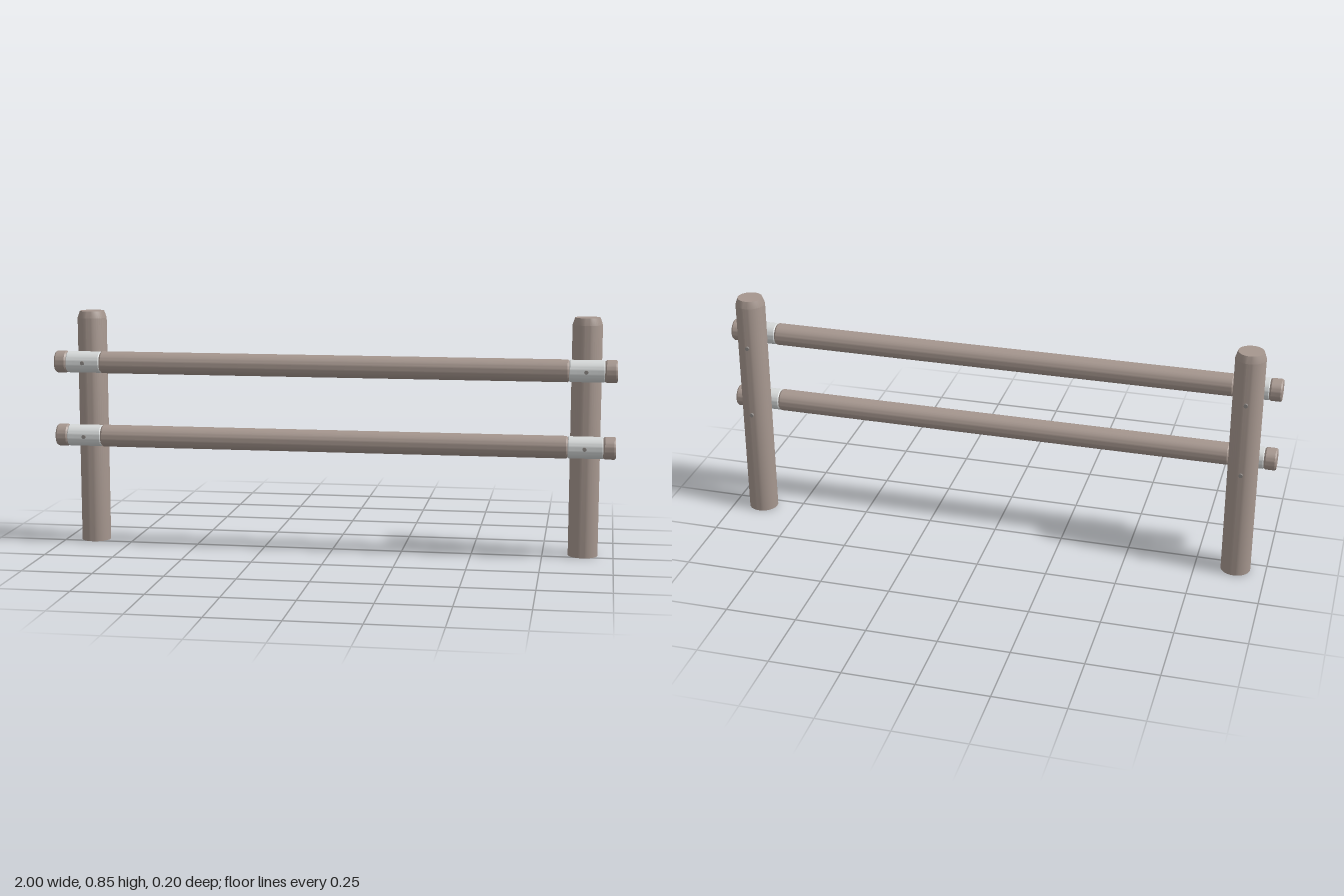
import * as THREE from 'three';
import { toCreasedNormals } from 'three/addons/utils/BufferGeometryUtils.js';

const wood = new THREE.MeshStandardMaterial({ name: 'weathered wood', color: 0xa5968e });
const sleeveGrey = new THREE.MeshStandardMaterial({ name: 'pale sleeve', color: 0xd6d9d9 });
const steel = new THREE.MeshStandardMaterial({ name: 'bolt steel', color: 0x8c8784 });

const POST_X = 0.893, POST_Z = -0.039, RAIL_Z = 0.055, RAIL_R = 0.0395;

// Turned solid from [radius, height] pairs, with sharp edges kept
function turned(profile) {
  const points = profile.map(([r, y]) => new THREE.Vector2(r, y));
  return toCreasedNormals(new THREE.LatheGeometry(points, 40), 0.35);
}

// Turned solid lying along x
function turnedAlongX(profile) {
  return turned(profile).rotateZ(-Math.PI / 2);
}

function add(parent, name, geometry, material, x = 0, y = 0, z = 0) {
  const mesh = new THREE.Mesh(geometry, material);
  mesh.name = name;
  mesh.position.set(x, y, z);
  parent.add(mesh);
}

export function createModel() {
  const model = new THREE.Group();
  model.name = 'railFence';

  // Round posts with a chamfered top
  const postGeometry = turned([[0, 0], [0.0525, 0], [0.0525, 0.822], [0.044, 0.847], [0, 0.847]]);

  // Rail: bevelled ends, with a recess for the sleeve near each end
  const r = RAIL_R, bevel = 0.036, core = 0.034;
  const half = [
    [r, 0.829], [bevel, 0.834], [core, 0.836], [core, 0.956],
    [bevel, 0.958], [r, 0.963], [r, 0.995], [bevel, 1], [0, 1],
  ];
  const mirrored = half.map(([radius, y]) => [radius, -y]).reverse();
  const railGeometry = turnedAlongX([...mirrored, ...half]);

  // Sleeve ring filling the recess
  const sleeveGeometry = turnedAlongX([
    [core, -0.061], [bevel, -0.061], [0.0385, -0.058],
    [0.0385, 0.058], [bevel, 0.061], [core, 0.061],
  ]);
  const boltGeometry = new THREE.CylinderGeometry(0.007, 0.007, 0.201, 16).rotateX(Math.PI / 2);

  for (const [side, sx] of [['left', 1], ['right', -1]]) {
    add(model, side + 'Post', postGeometry, wood, sx * POST_X, 0, POST_Z);
  }

  for (const [level, y] of [['lower', 0.403], ['upper', 0.67]]) {
    const rail = new THREE.Group();
    rail.name = level + 'RailAssembly';
    rail.position.y = y;
    model.add(rail);
    add(rail, level + 'Rail', railGeometry, wood, 0, 0, RAIL_Z);
    for (const sx of [1, -1]) {
      const side = sx > 0 ? 'Left' : 'Right';
      add(rail, level + side + 'Sleeve', sleeveGeometry, sleeveGrey, sx * 0.896, 0, RAIL_Z);
      // Bolt through rail and post
      add(rail, level + side + 'Bolt', boltGeometry, steel, sx * POST_X, 0, 0.001);
    }
  }
  return model;
}
